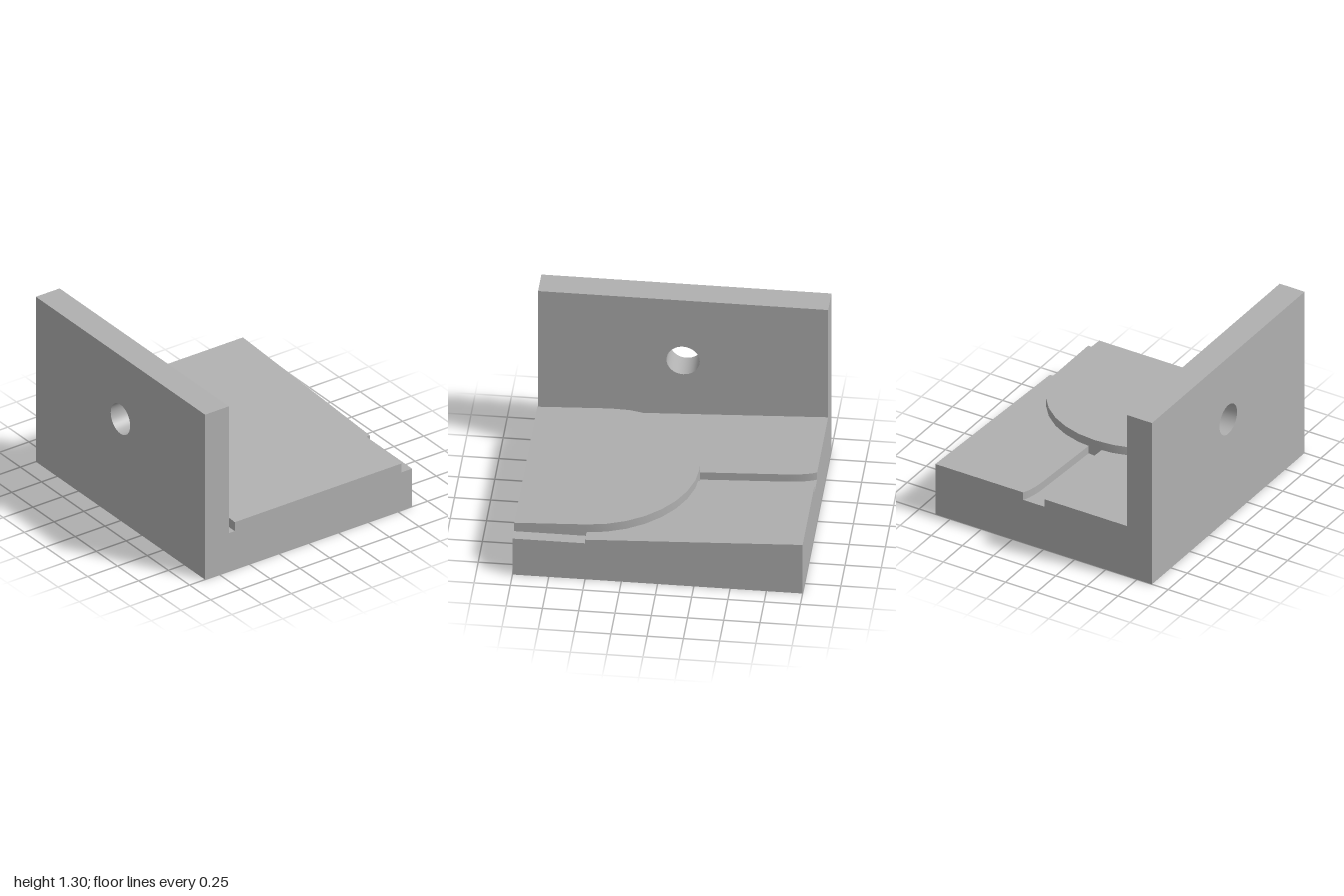
import * as THREE from 'three';
import { toCreasedNormals } from 'three/addons/utils/BufferGeometryUtils.js';

const CORE = 0.3;          // height of the flat lower block
const CZ = -0.08;          // z of the channel and pad centre line
const floorY = (x) => 0.305 + 0.05 * (1 - x);   // tilted floor plane
const padY = (x) => floorY(x) + 0.065;          // raised pad, parallel to the floor
const channelY = (x) => floorY(x) - 0.06;       // channel bed

// Stand a plan shape (drawn in x, -z) on the core and cut its top by a tilted plane
function plate(shape, topY) {
  const geo = new THREE.ExtrudeGeometry(shape, { depth: 1, bevelEnabled: false, curveSegments: 8 });
  geo.rotateX(-Math.PI / 2);
  const p = geo.attributes.position;
  for (let i = 0; i < p.count; i++) p.setY(i, p.getY(i) > 0.5 ? topY(p.getX(i)) : CORE);
  return toCreasedNormals(geo, 0.5);
}

// Trace the channel walls: along one side from the mouth, back along the other
function traceChannel(shape) {
  const v = -CZ;
  shape.lineTo(-1, v + 0.085);
  shape.quadraticCurveTo(-0.94, v + 0.055, -0.8, v + 0.052);
  shape.lineTo(-0.18, v + 0.052);
  shape.lineTo(-0.18, v - 0.052);
  shape.lineTo(-0.8, v - 0.052);
  shape.quadraticCurveTo(-0.94, v - 0.055, -1, v - 0.085);
}

export function createModel() {
  const group = new THREE.Group();
  const grey = new THREE.MeshStandardMaterial({ color: 0xb0b0b0 });
  grey.name = 'plain grey';
  const add = (name, geo) => {
    const mesh = new THREE.Mesh(geo, grey);
    mesh.name = name;
    group.add(mesh);
    return mesh;
  };

  // Lower block
  add('baseBlock', new THREE.BoxGeometry(2, CORE, 1.54)).position.set(0, CORE / 2, -0.1);

  // Tilted floor with the channel cut out, ending at the two lower ledges
  const floor = new THREE.Shape();
  floor.moveTo(0.5, 0.87);
  floor.lineTo(-1, 0.87);
  traceChannel(floor);
  floor.lineTo(-1, -0.67);
  floor.lineTo(0.5, -0.67);
  floor.closePath();
  add('slopedFloor', plate(floor, floorY));

  // Channel bed
  const bed = new THREE.Shape();
  bed.moveTo(-1, -CZ - 0.085);
  traceChannel(bed);
  add('channelBed', plate(bed, channelY));

  // Raised pad with a half-round end
  const pad = new THREE.Shape();
  pad.moveTo(1, -CZ + 0.7);
  pad.lineTo(0.5, -CZ + 0.7);
  pad.absarc(0.5, -CZ, 0.7, Math.PI / 2, Math.PI * 1.5, false);
  pad.lineTo(1, -CZ - 0.7);
  pad.closePath();
  add('raisedPad', plate(pad, padY));

  // Upright wall with a round hole
  const wall = new THREE.Shape();
  wall.moveTo(-1, 0);
  wall.lineTo(1, 0);
  wall.lineTo(1, 1.3);
  wall.lineTo(-1, 1.3);
  wall.closePath();
  wall.holes.push(new THREE.Path().absarc(0, 0.8, 0.115, 0, Math.PI * 2, true));
  const wallGeo = new THREE.ExtrudeGeometry(wall, { depth: 0.2, bevelEnabled: false, curveSegments: 16 });
  add('uprightWall', toCreasedNormals(wallGeo, 0.5)).position.z = 0.67;

  return group;
}
